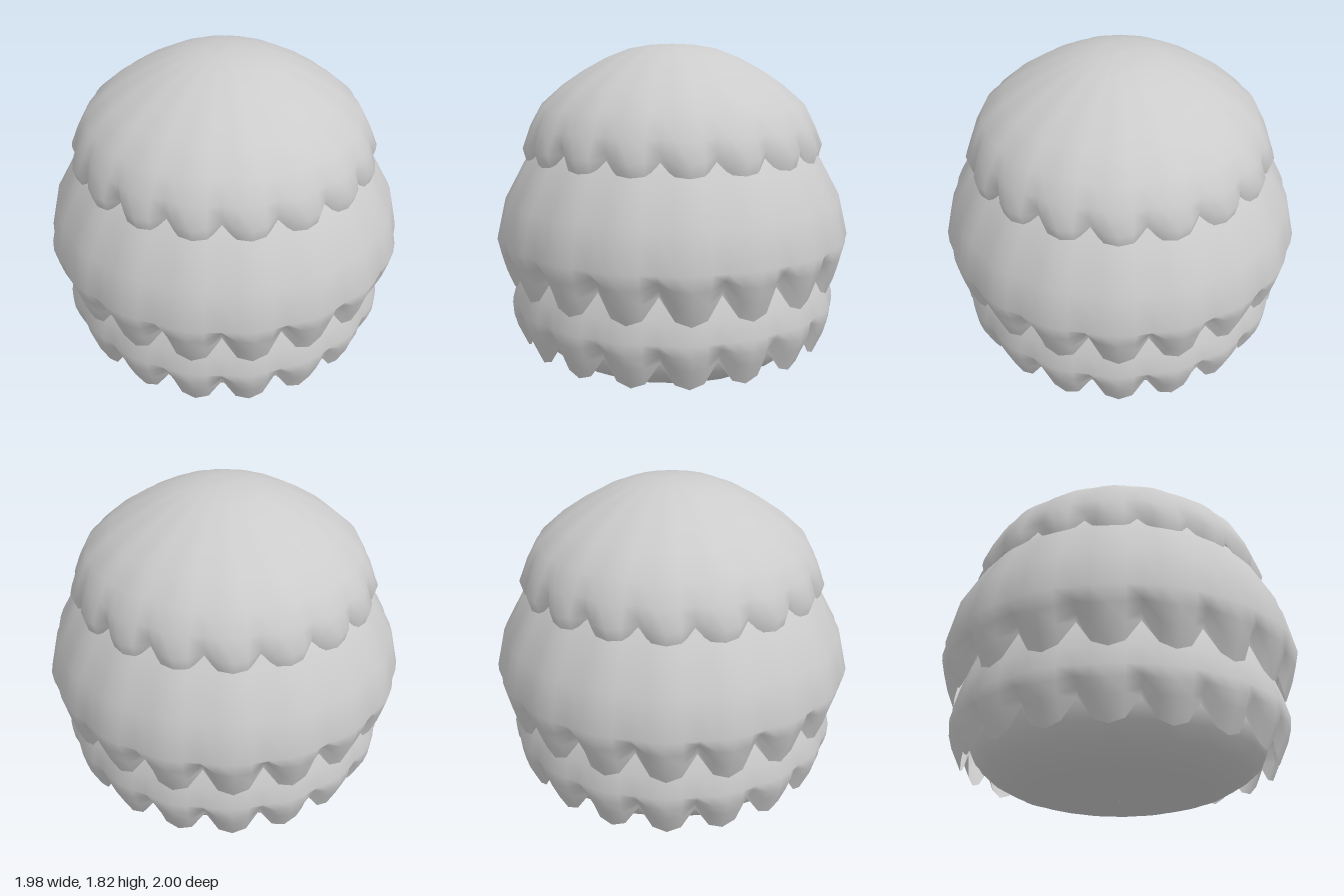
import * as THREE from 'three';

const SCALLOPS = 18;
const PER = 4; // segments in each scallop
const SEGS = SCALLOPS * PER;

const material = new THREE.MeshStandardMaterial({ color: 0xcccccc, side: THREE.DoubleSide });

// A row is [radius, y] for a plain 18-sided ring,
// or [radius, y, notchRadius, notchY] for a ring that dips between scallops.
function shell(name, rows) {
  const pos = [];
  const index = [];
  rows.forEach(([r, y, rn, yn], i) => {
    const plain = rn === undefined;
    const notchR = plain ? r * Math.cos(Math.PI / SCALLOPS) : rn;
    const notchY = plain ? y : yn;
    for (let j = 0; j < SEGS; j++) {
      const fromCentre = [0, 0.5, 1, 0.5][j % PER];
      const w = fromCentre === 0.5 ? (plain ? 0.35 : 0.2) : fromCentre;
      const a = (j / SEGS) * Math.PI * 2;
      const rad = r + (notchR - r) * w;
      pos.push(rad * Math.sin(a), y + (notchY - y) * w, rad * Math.cos(a));
      if (i < rows.length - 1) {
        const k = (j + 1) % SEGS;
        const p = i * SEGS + j, q = i * SEGS + k;
        index.push(p, p + SEGS, q + SEGS, p, q + SEGS, q);
      }
    }
  });
  const geometry = new THREE.BufferGeometry();
  geometry.setAttribute('position', new THREE.Float32BufferAttribute(pos, 3));
  geometry.setIndex(index);
  geometry.computeVertexNormals();
  const mesh = new THREE.Mesh(geometry, material);
  mesh.name = name;
  return mesh;
}

export function createModel() {
  const group = new THREE.Group();
  group.name = 'layeredDome';

  // Domed cap with a scalloped rim
  group.add(shell('topCap', [
    [0.001, 1.82], [0.12, 1.815], [0.24, 1.795], [0.37, 1.745], [0.5, 1.675],
    [0.62, 1.595], [0.74, 1.49],
    [0.8, 1.375, 0.785, 1.385],
    [0.845, 1.265, 0.79, 1.315],
    [0.82, 1.175, 0.78, 1.27],
  ]));

  // Wide middle skirt
  group.add(shell('middleLayer', [
    [0.6, 1.44], [0.75, 1.3], [0.84, 1.18], [0.95, 0.98], [1.0, 0.77],
    [0.98, 0.68, 0.94, 0.72],
    [0.955, 0.59, 0.895, 0.675],
    [0.915, 0.49, 0.885, 0.635],
  ]));

  // Lower skirt
  group.add(shell('lowerLayer', [
    [0.8, 0.72], [0.86, 0.62], [0.9, 0.51], [0.93, 0.4],
    [0.925, 0.33, 0.89, 0.36],
    [0.905, 0.26, 0.85, 0.315],
    [0.85, 0.14, 0.835, 0.275],
  ]));

  // Rounded base closing the underside
  group.add(shell('base', [
    [0.83, 0.42], [0.82, 0.28], [0.78, 0.19], [0.7, 0.12], [0.6, 0.065],
    [0.48, 0.03], [0.3, 0.01], [0.001, 0],
  ]));

  return group;
}
